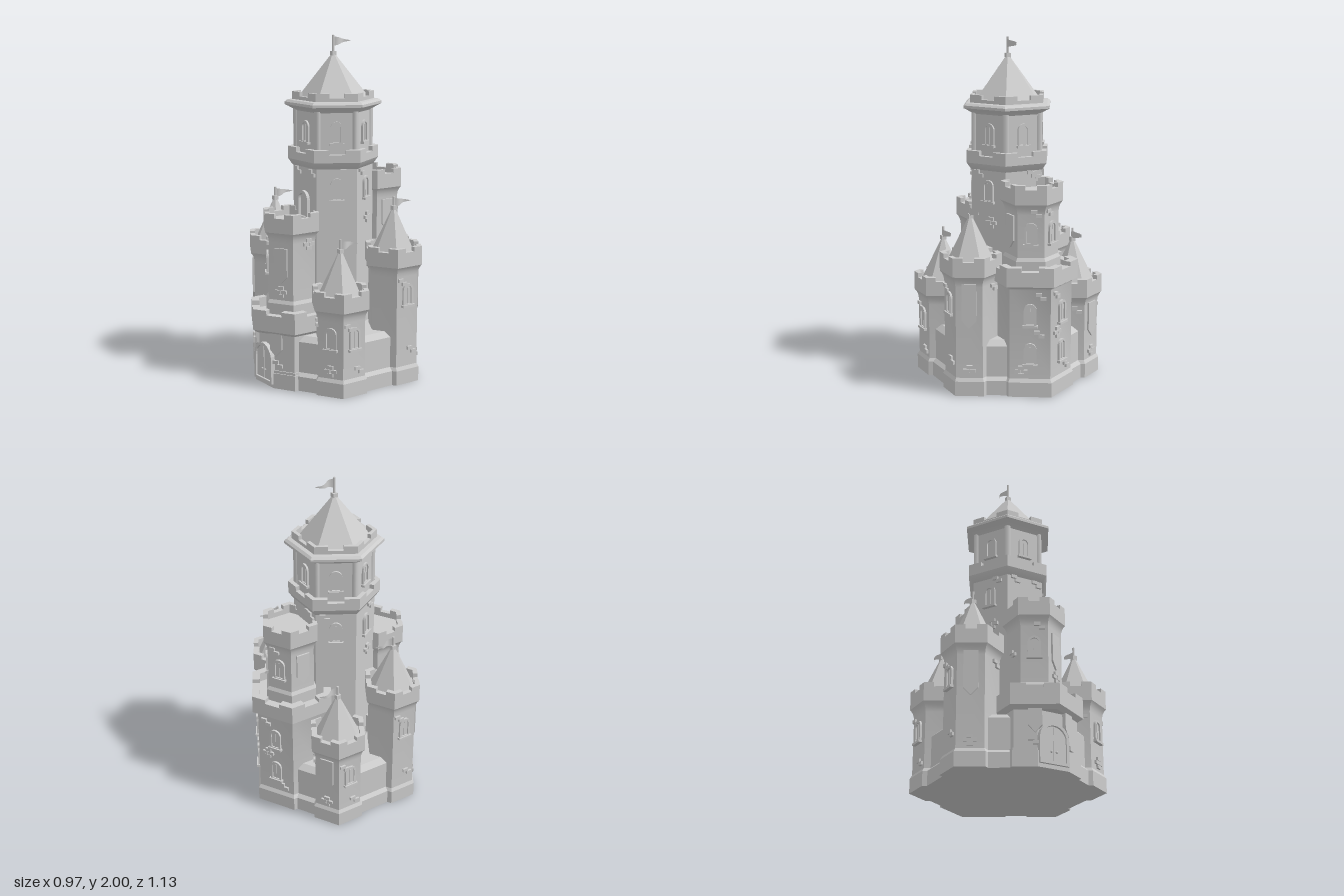
import * as THREE from 'three';
import { toCreasedNormals } from 'three/addons/utils/BufferGeometryUtils.js';

const grey = new THREE.MeshStandardMaterial({ color: 0xcccccc });
const thin = new THREE.MeshStandardMaterial({ color: 0xcccccc, side: THREE.DoubleSide });
const V = (x, y) => new THREE.Vector2(x, y);
const SIXTH = Math.PI / 3;

function add(parent, geo, name, x = 0, y = 0, z = 0, mat = grey) {
  const m = new THREE.Mesh(geo, mat);
  m.name = name;
  m.position.set(x, y, z);
  parent.add(m);
  return m;
}

function group(parent, name, x = 0, y = 0, z = 0, yaw = 0) {
  const g = new THREE.Group();
  g.name = name;
  g.position.set(x, y, z);
  g.rotation.y = yaw;
  parent.add(g);
  return g;
}

const extrude = (shape, depth) =>
  new THREE.ExtrudeGeometry(shape, { depth, bevelEnabled: false, curveSegments: 6 });

// Six-sided turned form; a corner points to +z
function hex(profile) {
  return toCreasedNormals(new THREE.LatheGeometry(profile.map(p => V(p[0], p[1])), 6), 0.45);
}

// Angled merlons wrapping the six corners of a parapet
function merlons(parent, R, Ri, y, h, reach = 0.32) {
  const px = R * 0.866 * reach, py = R - R * 0.5 * reach;
  const t = (R - Ri) * 0.866, nx = 0.5 * t, ny = 0.866 * t;
  const shape = new THREE.Shape([V(0, R), V(-px, py), V(-px + nx, py - ny),
    V(0, Ri), V(px - nx, py - ny), V(px, py)]);
  for (let i = 0; i < 6; i++) {
    const geo = extrude(shape, h);
    geo.rotateX(-Math.PI / 2).rotateY(i * SIXTH);
    add(parent, geo, 'merlon', 0, y, 0);
  }
}

// Tower shaft with stepped foot, flared head and parapet
function tower(parent, name, x, z, o) {
  const { r, foot, R, Ri, y0 = 0, top, head = 0.11, curve = 0.06 } = o;
  const g = group(parent, name, x, 0, z), d = R - r, s = top - head - curve;
  add(g, hex([[0, y0], [foot, y0], [foot, y0 + 0.085], [r, y0 + 0.105], [r, s],
    [r + 0.15 * d, s + 0.4 * curve], [r + 0.5 * d, s + 0.75 * curve], [R, s + curve],
    [R, top - 0.025], [Ri, top - 0.025], [Ri, top - 0.055], [0, top - 0.055]]), name + 'Body');
  merlons(g, R, Ri, top - 0.025, 0.025);
  return g;
}

// Pole with a rippling pennant that trails towards -z
function flag(parent, x, y, z, h) {
  const g = group(parent, 'flag', x, y, z), L = 0.118;
  add(g, new THREE.BoxGeometry(0.028, 0.025, 0.028), 'finial');
  add(g, new THREE.CylinderGeometry(0.007, 0.007, h, 8), 'flagPole', 0, h / 2, 0);
  const geo = new THREE.PlaneGeometry(1, 1, 10, 1), p = geo.attributes.position;
  for (let i = 0; i < p.count; i++) {
    const u = p.getX(i) + 0.5;
    p.setXYZ(i, 0.012 * Math.sin(u * 7), h - 0.035 + p.getY(i) * 0.055 * (1 - 0.95 * u), -L * u);
  }
  geo.computeVertexNormals();
  add(g, geo, 'pennant', 0, 0, 0, thin);
}

// Round-headed outline standing on y = 0
function arch(w, h, Type = THREE.Shape, y = 0) {
  const s = new Type(), r = w / 2;
  s.moveTo(-r, y);
  s.lineTo(r, y);
  s.lineTo(r, y + h - r);
  s.absarc(0, y + h - r, r, 0, Math.PI, false);
  s.lineTo(-r, y);
  return s;
}

// Local frame on the wall of a hexagonal tower: z points out of the face
const onFace = (parent, name, apothem, deg, y) => {
  const a = THREE.MathUtils.degToRad(deg);
  return group(parent, name, Math.sin(a) * apothem, y, Math.cos(a) * apothem, a);
};

function archFrame(g, w, h, t, depth, name) {
  const s = arch(w, h);
  s.holes.push(arch(w - 2 * t, h - 2 * t, THREE.Path, t));
  add(g, extrude(s, depth + 0.01), name + 'Frame', 0, 0, -0.01);
  add(g, extrude(arch(w - t, h - t), 0.013), name + 'Panel', 0, 0, -0.01);
}

// Window centred on height y
function windowAt(t, ap, deg, y) {
  const g = onFace(t, 'window', ap, deg, y - 0.065);
  archFrame(g, 0.072, 0.132, 0.013, 0.012, 'window');
  add(g, new THREE.BoxGeometry(0.086, 0.014, 0.034), 'sill', 0, 0.002, 0.004);
  add(g, new THREE.BoxGeometry(0.006, 0.1, 0.012), 'mullion', 0, 0.06, 0);
}

// Hanging pointed shield panel
function shield(t, ap, deg, y0, y1, w = 0.082) {
  const h = y1 - y0, r = w / 2;
  const s = new THREE.Shape([V(0, 0), V(r, r * 1.1), V(r, h), V(-r, h), V(-r, r * 1.1)]);
  add(onFace(t, 'shield', ap, deg, y0), extrude(s, 0.02), 'shieldPanel', 0, 0, -0.01);
}

// Raised stones: a cross-shaped cluster or a staggered pair
function stones(t, ap, deg, y, u = 0, cross = false) {
  const g = onFace(t, 'stones', ap, deg, y);
  const spots = cross ? [[0, 0.022], [-0.019, 0], [0.019, 0], [0, -0.022]]
    : [[-0.012, 0.011], [0.014, -0.011]];
  for (const [x, v] of spots)
    add(g, new THREE.BoxGeometry(0.034, 0.02, 0.024), 'stone', u + x, v, 0);
}

// Hexagonal slab with its front corner cut flat at z = cut
function cutHex(R, cut, y0, y1) {
  const a = R * 0.866, cx = (R - cut) * 1.732;
  const pts = [[cx, cut], [a, R / 2], [a, -R / 2], [0, -R], [-a, -R / 2], [-a, R / 2], [-cx, cut]];
  const geo = extrude(new THREE.Shape(pts.map(p => V(p[0], -p[1]))), y1 - y0);
  return geo.rotateX(-Math.PI / 2).translate(0, y0, 0);
}

export function createModel() {
  const castle = new THREE.Group();
  castle.name = 'castle';

  // Central keep, turned so that a flat side faces front
  const keep = group(castle, 'keep');
  const shell = group(keep, 'keepShell', 0, 0, 0, Math.PI / 6);
  add(shell, hex([[0, 0], [0.233, 0], [0.233, 1.25], [0.24, 1.255], [0.265, 1.29], [0.265, 1.335],
    [0.235, 1.335], [0.235, 1.31], [0.222, 1.31], [0.222, 1.57], [0.235, 1.58], [0.262, 1.595],
    [0.283, 1.605], [0.283, 1.62], [0.267, 1.632], [0.24, 1.635], [0.24, 1.655], [0.215, 1.655],
    [0.215, 1.63], [0, 1.63]]), 'keepBody');
  merlons(shell, 0.265, 0.235, 1.335, 0.027);
  merlons(shell, 0.24, 0.215, 1.655, 0.025);
  add(shell, hex([[0.218, 1.63], [0.012, 1.89], [0, 1.89]]), 'keepRoof');
  for (let i = 0; i < 6; i++) {
    const a = i * SIXTH;
    add(shell, new THREE.CylinderGeometry(0.02, 0.02, 0.27, 6), 'cornerPost',
      0.213 * Math.sin(a), 1.445, 0.213 * Math.cos(a)).rotation.y = a;
    windowAt(keep, 0.192, i * 60, 1.455);
    if (i % 3) windowAt(keep, 0.202, i * 60, 1.13);
    stones(keep, 0.202, i * 60, 1.23, i % 2 ? 0.05 : -0.065);
    if (i % 3 === 0) stones(keep, 0.202, i * 60, 1.225, 0.075);
  }
  stones(keep, 0.202, -60, 0.95, 0.02, true);
  stones(keep, 0.202, 120, 0.95, 0.02, true);
  const terraceDoor = onFace(keep, 'terraceDoor', 0.202, 0, 0.95);
  archFrame(terraceDoor, 0.1, 0.165, 0.014, 0.02, 'terraceDoor');
  add(terraceDoor, new THREE.SphereGeometry(0.006, 8, 6), 'doorKnob', 0.022, 0.075, 0.006);
  flag(castle, 0, 1.895, 0, 0.105);

  // Corner towers: tall and short ones on opposite diagonals
  const slim = { r: 0.152, foot: 0.165, R: 0.177, Ri: 0.145 };
  const ap = 0.132;
  for (const sx of [-1, 1]) for (const sz of [-1, 1]) {
    const tall = sx !== sz, top = tall ? 0.81 : 0.605, x = 0.333 * sx, z = 0.19 * sz;
    const t = tower(castle, tall ? 'tallCornerTower' : 'shortCornerTower', x, z, { ...slim, top });
    add(t, hex([[0.138, top - 0.056], [0.009, top + 0.21], [0, top + 0.21]]), 'cornerRoof');
    flag(castle, x, top + 0.21, z, 0.066);
    const out = sz > 0 ? sx * 30 : sx * 150, side = sx * 90, inner = sz > 0 ? -sx * 30 : -sx * 150;
    if (tall) shield(t, ap, out, 0.4, 0.66);
    else if (sz > 0) windowAt(t, ap, out, 0.335);
    else shield(t, ap, out, 0.24, 0.45);
    windowAt(t, ap, side, tall ? 0.53 : 0.335);
    stones(t, ap, out, 0.15, 0, true);
    stones(t, ap, side, tall ? 0.2 : 0.15, 0.03);
    stones(t, ap, side, top - 0.2, -0.04);
    stones(t, ap, inner, top - 0.19, 0.03);
  }

  // Curtain walls between the towers
  const section = new THREE.Shape([[0.1, 0], [0.452, 0], [0.452, 0.085], [0.432, 0.105],
    [0.432, 0.285], [0.4, 0.315], [0.1, 0.315]].map(p => V(p[0], p[1])));
  for (let i = 0; i < 6; i++) {
    const w = group(castle, 'curtainWall', 0, 0, 0, i * SIXTH);
    add(w, extrude(section, 0.26), 'curtainWallBody', 0, 0, -0.13);
  }

  // Gatehouse with a balcony over the entrance
  const gate = group(castle, 'gatehouse', 0, 0, 0.3);
  add(gate, cutHex(0.245, 0.19, 0, 0.09), 'gateFoot');
  add(gate, cutHex(0.238, 0.184, 0.09, 0.105), 'gateFootStep');
  add(gate, cutHex(0.23, 0.178, 0.1, 0.34), 'gateBody');
  add(gate, hex([[0, 0.32], [0.235, 0.32], [0.265, 0.34], [0.265, 0.435], [0.215, 0.435],
    [0.215, 0.405], [0, 0.405]]), 'balcony');
  merlons(gate, 0.265, 0.215, 0.435, 0.027);
  for (const s of [-1, 1]) {
    shield(gate, 0.2, s * 30, 0.19, 0.325, 0.075);
    stones(gate, 0.2, s * 30, 0.145, s * 0.01);
  }
  const door = group(gate, 'mainDoor', 0, 0.022, 0.182);
  archFrame(door, 0.18, 0.23, 0.016, 0.022, 'mainDoor');
  add(door, extrude(arch(0.15, 0.2), 0.022), 'doorLeaves', 0, 0.012, -0.01);
  add(door, new THREE.BoxGeometry(0.005, 0.195, 0.008), 'doorSeam', 0, 0.11, 0.012);
  for (const s of [-1, 1])
    add(door, new THREE.SphereGeometry(0.007, 8, 6), 'doorKnob', s * 0.016, 0.07, 0.014);

  // Front tower above the balcony
  const front = tower(castle, 'frontTower', 0, 0.3, { ...slim, y0: 0.4, top: 1.01 });
  windowAt(front, ap, -30, 0.71);
  shield(front, ap, 30, 0.6, 0.81);
  stones(front, ap, 30, 0.555, 0, true);
  stones(front, ap, -30, 0.84, 0.03);
  stones(front, ap, 90, 0.83, 0.03, true);
  stones(front, ap, -90, 0.7, 0);

  // Broad rear bastion with a slimmer tower on it
  const bastion = tower(castle, 'rearBastion', 0, -0.3,
    { r: 0.23, foot: 0.245, R: 0.265, Ri: 0.215, top: 0.76, curve: 0.025 });
  const rear = tower(castle, 'rearTower', 0, -0.3, { ...slim, y0: 0.69, top: 1.21 });
  for (const s of [-1, 1]) {
    for (const y of [0.25, 0.48]) windowAt(bastion, 0.2, s * 150, y);
    stones(bastion, 0.2, s * 150, 0.37, s * 0.05, s < 0);
    stones(bastion, 0.2, s * 150, 0.15, -s * 0.05, s > 0);
    stones(bastion, 0.2, s * 150, 0.59, s * 0.06);
    windowAt(rear, ap, s * 150, 0.93);
    shield(rear, ap, s * 90, 0.84, 1.03);
    stones(rear, ap, s * 150, 1.05, s * 0.03);
  }
  return castle;
}
